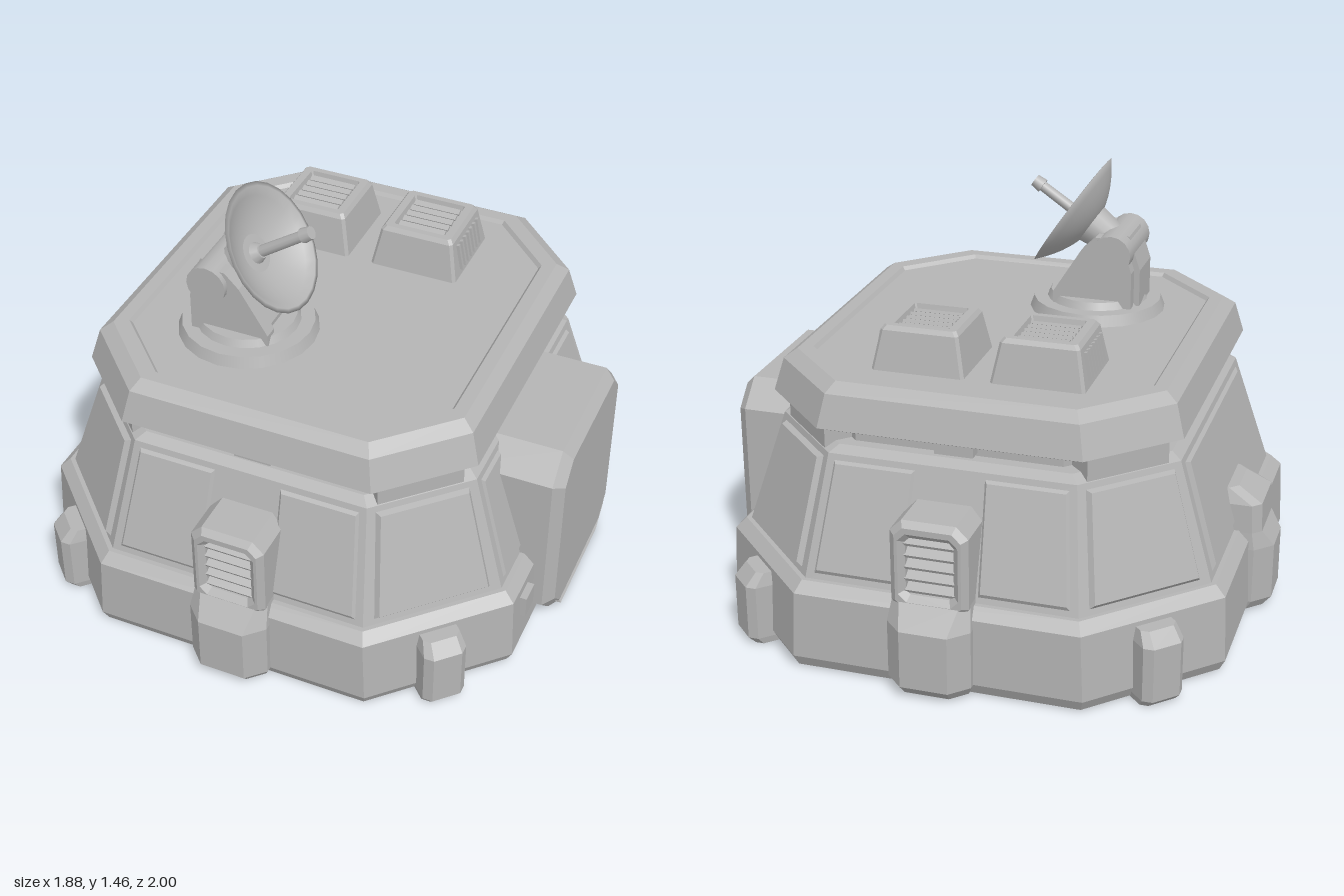
import * as THREE from 'three';

const shell = new THREE.MeshStandardMaterial({ color: 0xb4b4b4 });
shell.name = 'plain grey';
const V = (x, y, z) => new THREE.Vector3(x, y, z);

function add(parent, name, geometry, x = 0, y = 0, z = 0) {
  const mesh = new THREE.Mesh(geometry, shell);
  mesh.name = name;
  mesh.position.set(x, y, z);
  parent.add(mesh);
  return mesh;
}

function group(parent, name, turn = 0) {
  const g = new THREE.Group();
  g.name = name;
  g.rotation.y = turn;
  parent.add(g);
  return g;
}

// Flat-faced solid through equal-length convex loops, capped at both ends
function loft(loops) {
  const out = [];
  const tri = (...pts) => pts.forEach((p) => out.push(p.x, p.y, p.z));
  const n = loops[0].length;
  const end = loops[loops.length - 1];
  for (let k = 0; k < loops.length - 1; k++) {
    for (let i = 0; i < n; i++) {
      const j = (i + 1) % n;
      const [a, b, c, d] = [loops[k][i], loops[k][j], loops[k + 1][j], loops[k + 1][i]];
      tri(a, b, c);
      tri(a, c, d);
    }
  }
  for (let i = 1; i < n - 1; i++) {
    tri(end[0], end[i], end[i + 1]);
    tri(loops[0][0], loops[0][i + 1], loops[0][i]);
  }
  const g = new THREE.BufferGeometry();
  g.setAttribute('position', new THREE.Float32BufferAttribute(out, 3));
  g.computeVertexNormals();
  return g;
}

// Rectangle with cut corners at height y
const octagon = ([y, hx, hz, c]) => [
  V(hx, y, hz - c), V(hx, y, c - hz), V(hx - c, y, -hz), V(c - hx, y, -hz),
  V(-hx, y, c - hz), V(-hx, y, hz - c), V(c - hx, y, hz), V(hx - c, y, hz),
];

// Block against a wall, cut at its two front corners
const buttress = (rows, back) => loft(rows.map(([y, hw, zf, c]) => [
  V(hw, y, zf - c), V(hw, y, back), V(-hw, y, back),
  V(-hw, y, zf - c), V(c - hw, y, zf), V(hw - c, y, zf),
]));

function cutRect(Type, x0, y0, x1, y1, c) {
  return new Type([
    [x0 + c, y0], [x1 - c, y0], [x1, y0 + c], [x1, y1 - c],
    [x1 - c, y1], [x0 + c, y1], [x0, y1 - c], [x0, y0 + c],
  ].map(([x, y]) => new THREE.Vector2(x, y)));
}

// Bevelled frame with an opening, running from z0 to z1
function frame(outer, hole, z0, z1, bevel) {
  const shape = cutRect(THREE.Shape, ...outer);
  shape.holes.push(cutRect(THREE.Path, ...hole));
  return new THREE.ExtrudeGeometry(shape, {
    depth: z1 - z0 - 2 * bevel, bevelEnabled: true, bevelSegments: 1,
    bevelSize: bevel, bevelThickness: bevel, bevelOffset: -bevel,
  }).translate(0, 0, z0 + bevel);
}

// Raised wall plate between two rows of an octagonal wall
function wallPlate(low, high, side, u0, u1, t = 0.018) {
  const j = (side + 1) % 8;
  const at = (u, v) => low[side].clone().lerp(low[j], u)
    .lerp(high[side].clone().lerp(high[j], u), v);
  const base = [at(u0, 0.06), at(u1, 0.06), at(u1, 0.95), at(u0, 0.95)];
  const n = base[1].clone().sub(base[0]).cross(base[3].clone().sub(base[0])).normalize();
  const mid = base.reduce((s, p) => s.add(p), V(0, 0, 0)).divideScalar(4);
  return loft([base, base.map((p) => p.clone().lerp(mid, 0.06).addScaledVector(n, t))]);
}

function addBody(model) {
  const base = [[0.01, 0.85, 0.9, 0.37], [0.05, 0.87, 0.92, 0.38],
    [0.28, 0.86, 0.915, 0.38], [0.315, 0.825, 0.88, 0.36]];
  add(model, 'base ring', loft(base.map(octagon)));

  const low = octagon([0.31, 0.81, 0.865, 0.35]);
  const high = octagon([0.71, 0.685, 0.735, 0.27]);
  add(model, 'sloped wall', loft([low, high, octagon([0.73, 0.65, 0.7, 0.26])]));
  for (const side of [1, 3, 5, 7]) add(model, 'corner wall plate', wallPlate(low, high, side, 0.08, 0.92));
  for (const side of [0, 2, 6]) {
    const gap = side === 0 ? 0.2 : 0.36;
    add(model, 'wall plate', wallPlate(low, high, side, 0.03, gap, 0.01));
    add(model, 'wall plate', wallPlate(low, high, side, 1 - gap, 0.97, 0.01));
  }
  add(model, 'left wall plate', wallPlate(low, high, 4, 0.04, 0.96, 0.01));

  // Neck with supports under the roof
  add(model, 'neck', loft([octagon([0.7, 0.6, 0.66, 0.25]), octagon([0.81, 0.6, 0.66, 0.25])]));
  for (const sx of [-1, 1]) {
    for (const sz of [-1, 1]) {
      add(model, 'corner support', new THREE.BoxGeometry(0.3, 0.1, 0.1), sx * 0.51, 0.76, sz * 0.565)
        .rotation.y = sx * sz * Math.PI / 4;
    }
    add(model, 'roof bracket', new THREE.BoxGeometry(0.13, 0.06, 0.09), 0, 0.77, sx * 0.66);
    add(model, 'side roof bracket', new THREE.BoxGeometry(0.09, 0.06, 0.13), sx * 0.6, 0.77, 0);
  }

  add(model, 'roof', loft([
    [0.79, 0.67, 0.735, 0.25], [0.805, 0.7, 0.765, 0.26], [0.915, 0.67, 0.735, 0.25],
    [0.945, 0.63, 0.69, 0.23], [0.945, 0.585, 0.645, 0.215], [0.932, 0.575, 0.635, 0.21],
  ].map(octagon)));

  // Bumpers on the cut corners
  for (const sx of [-1, 1]) {
    for (const sz of [-1, 1]) {
      const g = group(model, 'corner bumper', Math.atan2(sx, sz));
      g.position.set(sx * 0.67, 0, sz * 0.73);
      add(g, 'bumper block', buttress([[0.005, 0.07, 0.06, 0.02], [0.03, 0.075, 0.085, 0.025],
        [0.22, 0.075, 0.085, 0.025], [0.265, 0.065, 0.045, 0.02]], -0.08));
    }
  }
  add(model, 'control box', new THREE.BoxGeometry(0.04, 0.08, 0.08), 0.865, 0.21, 0.43);
}

function addVents(model) {
  for (const turn of [0, Math.PI]) {
    const g = group(model, turn ? 'back vent' : 'front vent', turn);
    g.position.x = 0.01;
    add(g, 'vent foot', buttress([[0.015, 0.125, 0.97, 0.05], [0.05, 0.14, 1, 0.06],
      [0.25, 0.14, 1, 0.06], [0.33, 0.13, 0.935, 0.03]], 0.75));
    add(g, 'vent hood', frame([-0.13, 0.28, 0.13, 0.605, 0.04], [-0.08, 0.345, 0.08, 0.545, 0.015], 0.7, 0.94, 0.02));
    add(g, 'vent back', new THREE.BoxGeometry(0.18, 0.24, 0.02), 0, 0.445, 0.885);
    for (let i = 0; i < 5; i++) {
      add(g, 'vent slat', new THREE.BoxGeometry(0.17, 0.012, 0.035), 0, 0.365 + i * 0.041, 0.907).rotation.x = 0.5;
    }
  }
  const left = group(model, 'right side buttress', -Math.PI / 2);
  add(left, 'buttress block', buttress([[0.015, 0.12, 0.91, 0.05], [0.05, 0.13, 0.94, 0.06],
    [0.25, 0.13, 0.94, 0.06], [0.31, 0.125, 0.9, 0.03], [0.41, 0.12, 0.895, 0.03], [0.46, 0.1, 0.81, 0.03]], 0.7));
}

function addDoor(model) {
  const g = group(model, 'doorway', Math.PI / 2);
  add(g, 'door frame', frame([-0.33, 0.01, 0.33, 0.725, 0.09], [-0.24, 0.045, 0.24, 0.63, 0.05], 0.55, 0.935, 0.035));
  for (const s of [-1, 1]) add(g, 'door leaf', new THREE.BoxGeometry(0.26, 0.62, 0.04), s * 0.13, 0.34, 0.85);
  const pts = [];
  for (let i = 0; i <= 20; i++) pts.push(V(0.005 + 0.018 * Math.sin(i * 1.4), 0.08 + i * 0.025, 0.87));
  add(g, 'door seam', new THREE.TubeGeometry(new THREE.CatmullRomCurve3(pts), 60, 0.008, 6));
}

function addRoofUnits(model) {
  for (const s of [-1, 1]) {
    const g = group(model, 'roof air unit');
    g.position.set(s < 0 ? -0.225 : 0.18, 0, -0.38);
    add(g, 'unit housing', loft([[0.925, 0.16, 0.16, 0.01], [1.065, 0.133, 0.133, 0.01],
      [1.08, 0.122, 0.122, 0.01], [1.08, 0.095, 0.1, 0.005], [1.06, 0.09, 0.095, 0.005]].map(octagon)));
    for (let i = 0; i < 5; i++) {
      add(g, 'top slat', new THREE.BoxGeometry(0.17, 0.01, 0.022), 0, 1.066, -0.072 + i * 0.036).rotation.x = 0.4;
    }
    for (let i = 0; i < 7; i++) {
      add(g, 'side slat', new THREE.BoxGeometry(0.016, 0.095, 0.014), s * 0.148, 1.0, -0.09 + i * 0.03)
        .rotation.z = s * 0.19;
    }
  }
}

function addDish(model) {
  const g = group(model, 'antenna');
  g.position.set(-0.21, 0, 0.28);
  add(g, 'mount plate', new THREE.CylinderGeometry(0.225, 0.24, 0.04, 20), 0, 0.95, 0);
  add(g, 'mount step', new THREE.CylinderGeometry(0.165, 0.18, 0.03, 20), 0, 0.98, 0);

  // Pedestal: two cheeks around a slimmer core
  const profile = new THREE.Shape([[-0.15, 0.96], [0.13, 0.96], [0.13, 1.01], [0.03, 1.17],
    [-0.02, 1.22], [-0.11, 1.22], [-0.15, 1.1]].map(([x, y]) => new THREE.Vector2(x, y)));
  for (const [name, z, depth] of [['cheek', -0.125, 0.05], ['cheek', 0.075, 0.05], ['core', -0.08, 0.16]]) {
    const geo = new THREE.ExtrudeGeometry(profile, { depth, bevelEnabled: false });
    const mesh = add(g, 'pedestal ' + name, geo, 0, 0, z);
    if (name === 'core') mesh.position.x = -0.02;
  }
  add(g, 'pivot', new THREE.CylinderGeometry(0.07, 0.07, 0.29, 16).rotateX(Math.PI / 2), -0.08, 1.165, 0);

  // Dish, with its axis along local y
  const dish = group(g, 'dish');
  dish.position.set(0.095, 1.277, 0);
  dish.quaternion.setFromUnitVectors(V(0, 1, 0), V(0.83, 0.56, 0).normalize());
  const bowl = [];
  for (let i = 0; i <= 8; i++) bowl.push(new THREE.Vector2(0.223 * i / 8, -0.095 * (1 - (i / 8) ** 2)));
  for (let i = 8; i >= 0; i--) bowl.push(new THREE.Vector2(0.208 * i / 8, 0.002 - 0.08 * (1 - (i / 8) ** 2)));
  add(dish, 'bowl', new THREE.LatheGeometry(bowl, 24));
  add(dish, 'rear hub', new THREE.CylinderGeometry(0.075, 0.06, 0.1, 14), 0, -0.12, 0);
  add(dish, 'feed collar', new THREE.CylinderGeometry(0.025, 0.045, 0.04, 12), 0, -0.065, 0);
  add(dish, 'feed rod', new THREE.CylinderGeometry(0.018, 0.02, 0.22, 10), 0, 0.04, 0);
  add(dish, 'feed tip', new THREE.CylinderGeometry(0.022, 0.026, 0.035, 10), 0, 0.15, 0);
}

export function createModel() {
  const model = new THREE.Group();
  model.name = 'outpost building';
  addBody(model);
  addVents(model);
  addDoor(model);
  addRoofUnits(model);
  addDish(model);
  return model;
}
